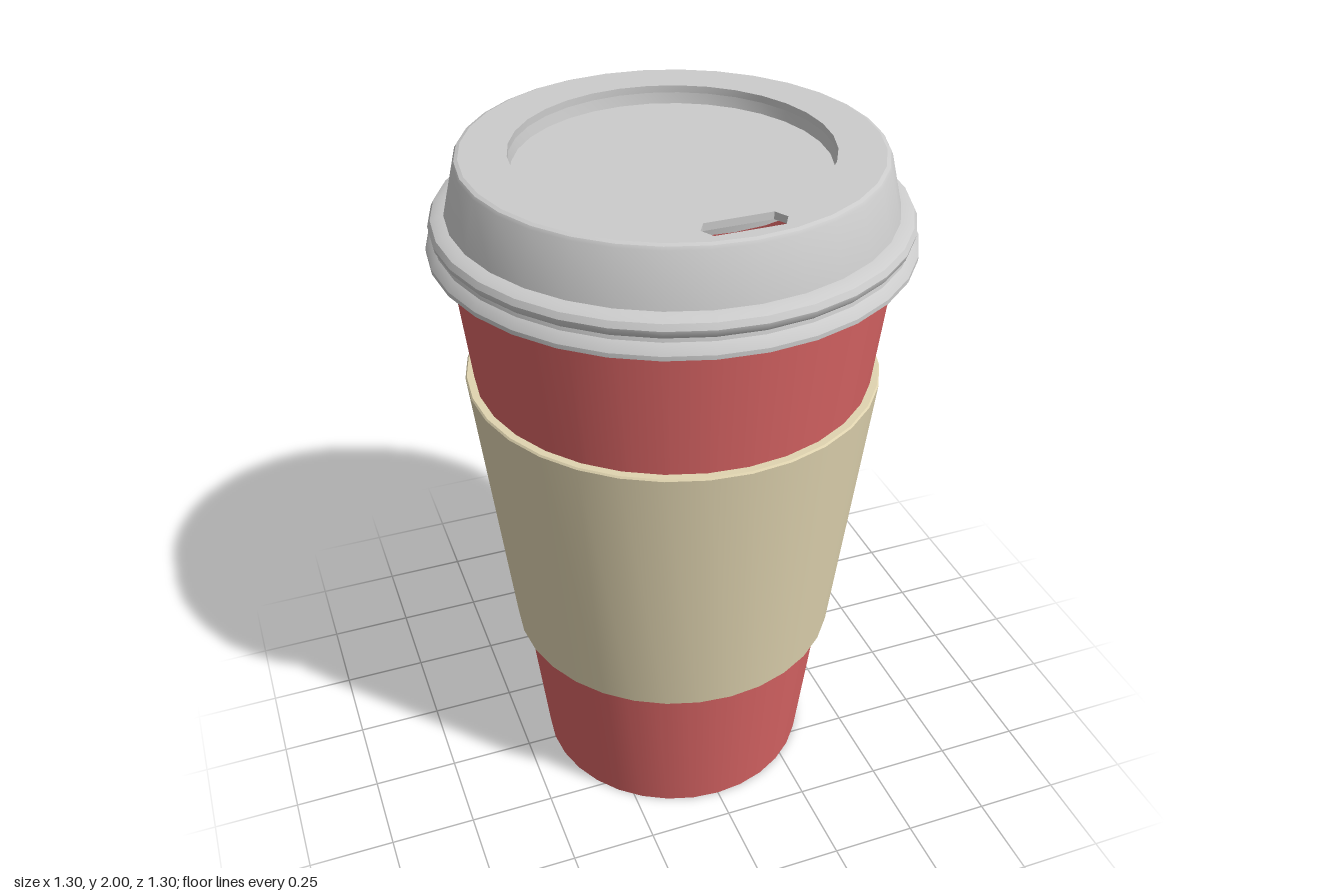
import * as THREE from 'three';
import { toCreasedNormals } from 'three/addons/utils/BufferGeometryUtils.js';

const SIDES = 32;

export function createModel() {
  const cup = new THREE.Group();
  cup.name = 'takeawayCup';

  const paper = new THREE.MeshStandardMaterial({ color: 0xd86464 });
  const card = new THREE.MeshStandardMaterial({ color: 0xe0d4b0 });
  const plastic = new THREE.MeshStandardMaterial({ color: 0xcccccc, side: THREE.DoubleSide });

  const add = (name, geometry, material, parent = cup) => {
    const mesh = new THREE.Mesh(toCreasedNormals(geometry, 0.55), material);
    mesh.name = name;
    parent.add(mesh);
  };
  const turn = (profile) =>
    new THREE.LatheGeometry(profile.map(([r, y]) => new THREE.Vector2(r, y)), SIDES);
  const ring = (r) =>
    Array.from({ length: SIDES }, (_, i) => {
      const a = (i / SIDES) * Math.PI * 2;
      return new THREE.Vector2(r * Math.sin(a), r * Math.cos(a));
    });

  // Thin-walled open cup with its floor raised above the foot
  add('cupBody', turn([
    [0, 0.18], [0.42, 0.18], [0.4, 0], [0.41, 0],
    [0.603, 1.78], [0.593, 1.78], [0.423, 0.2], [0, 0.2],
  ]), paper);

  // Cardboard sleeve, a closed tapered ring
  add('sleeve', turn([
    [0.46, 0.49], [0.487, 0.49], [0.582, 1.355], [0.578, 1.36], [0.555, 1.36], [0.46, 0.49],
  ]), card);

  const lid = new THREE.Group();
  lid.name = 'lid';
  cup.add(lid);

  // Lid skirt: flared lip, rounded bead, sloping shoulder and softened top edge
  add('lidSkirt', turn([
    [0.652, 1.75], [0.652, 1.762], [0.642, 1.778], [0.632, 1.788], [0.63, 1.798],
    [0.639, 1.808], [0.642, 1.822], [0.634, 1.838], [0.618, 1.846], [0.598, 1.85],
    [0.565, 1.988], [0.56, 1.996], [0.55, 2],
  ]), plastic, lid);

  // Flat top ring with a drinking slot near the front
  const top = new THREE.Shape(ring(0.55));
  const slot = [
    [-0.11, -0.48], [-0.09, -0.445], [0.09, -0.445], [0.11, -0.48], [0.09, -0.515], [-0.09, -0.515],
  ].map(([x, y]) => new THREE.Vector2(x, y));
  top.holes.push(new THREE.Path(ring(0.425)), new THREE.Path(slot));
  const topGeometry = new THREE.ExtrudeGeometry(top, { depth: 0.02, bevelEnabled: false });
  topGeometry.rotateX(-Math.PI / 2).translate(0, 1.98, 0);
  add('lidTop', topGeometry, plastic, lid);

  // Sunken centre of the lid
  add('lidRecess', turn([[0.425, 1.98], [0.42, 1.95], [0, 1.95]]), plastic, lid);

  return cup;
}
